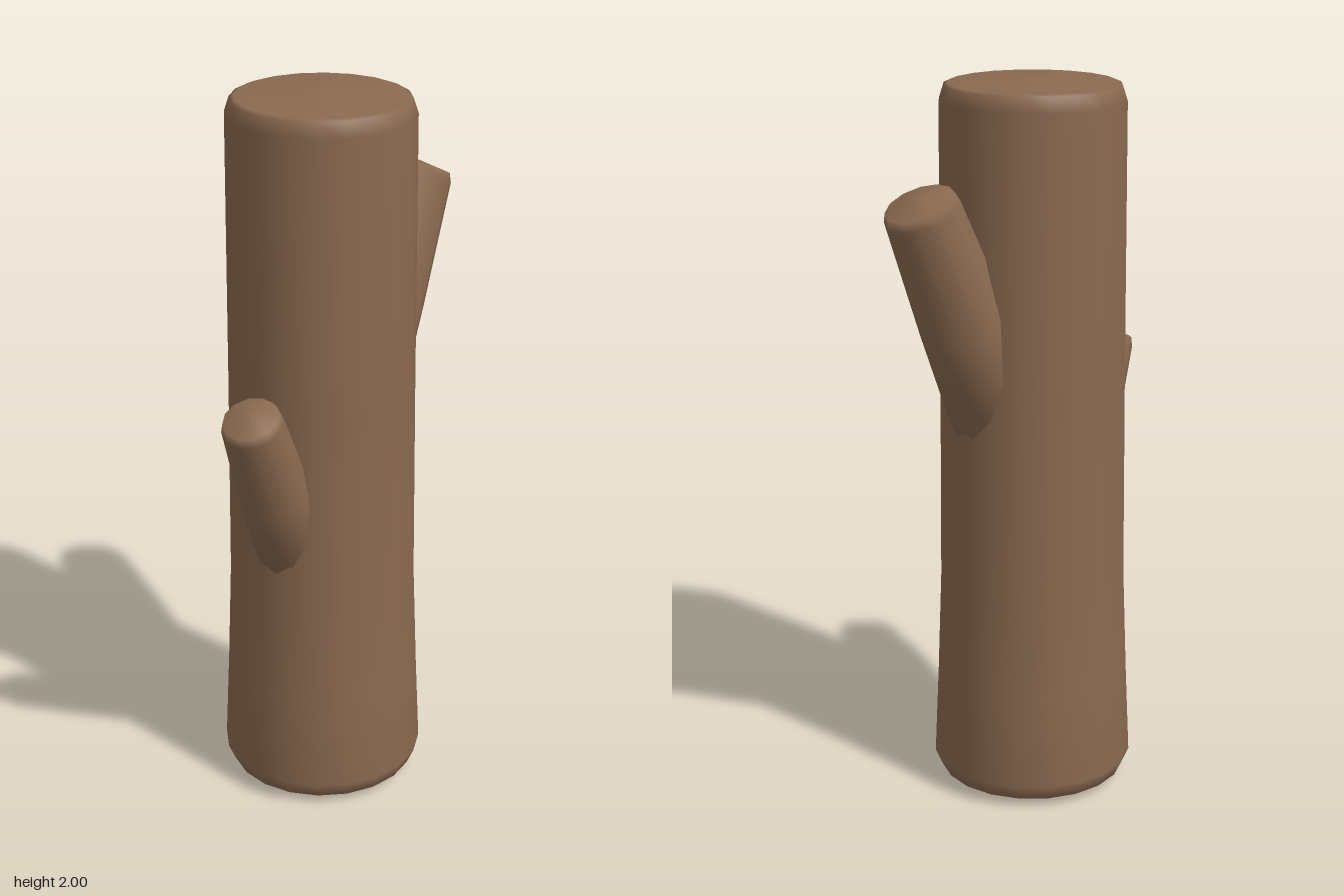
import * as THREE from 'three';

const bark = new THREE.MeshStandardMaterial({ color: 0x8b6a50 });
bark.name = 'bark brown';

// Smooth turned solid from [radius, height] pairs, bottom to top
function turned(name, profile, sides) {
  const points = profile.map(([r, y]) => new THREE.Vector2(r, y));
  const mesh = new THREE.Mesh(new THREE.LatheGeometry(points, sides), bark);
  mesh.name = name;
  return mesh;
}

// Tapered stub running from a base inside the trunk to a softly domed tip
function branch(name, base, tip, baseRadius, tipRadius) {
  const from = new THREE.Vector3(...base);
  const axis = new THREE.Vector3(...tip).sub(from);
  const length = axis.length();
  const mid = (baseRadius + tipRadius) / 2 + 0.003;
  const mesh = turned(name, [
    [0, 0],
    [baseRadius, 0],
    [mid, length * 0.5],
    [tipRadius, length - 0.025],
    [tipRadius * 0.9, length],
    [0, length + 0.012],
  ], 12);
  mesh.position.copy(from);
  mesh.quaternion.setFromUnitVectors(new THREE.Vector3(0, 1, 0), axis.normalize());
  return mesh;
}

export function createModel() {
  const group = new THREE.Group();
  group.name = 'log';

  // Trunk, flared at the foot, with bevelled and slightly domed ends
  const trunk = turned('trunk', [
    [0, 0],
    [0.245, 0.02],
    [0.262, 0.025],
    [0.282, 0.07],
    [0.27, 0.33],
    [0.259, 0.62],
    [0.254, 1.2],
    [0.25, 1.94],
    [0.237, 1.98],
    [0.225, 1.985],
    [0, 2],
  ], 20);
  trunk.position.x = -0.033;
  group.add(trunk);

  // Branch stubs
  group.add(branch('leftBranch', [0.06, 1.03, -0.025], [0.345, 1.715, -0.095], 0.137, 0.103));
  group.add(branch('rightBranch', [-0.16, 0.715, 0.06], [-0.365, 1.225, 0.172], 0.105, 0.083));

  return group;
}
